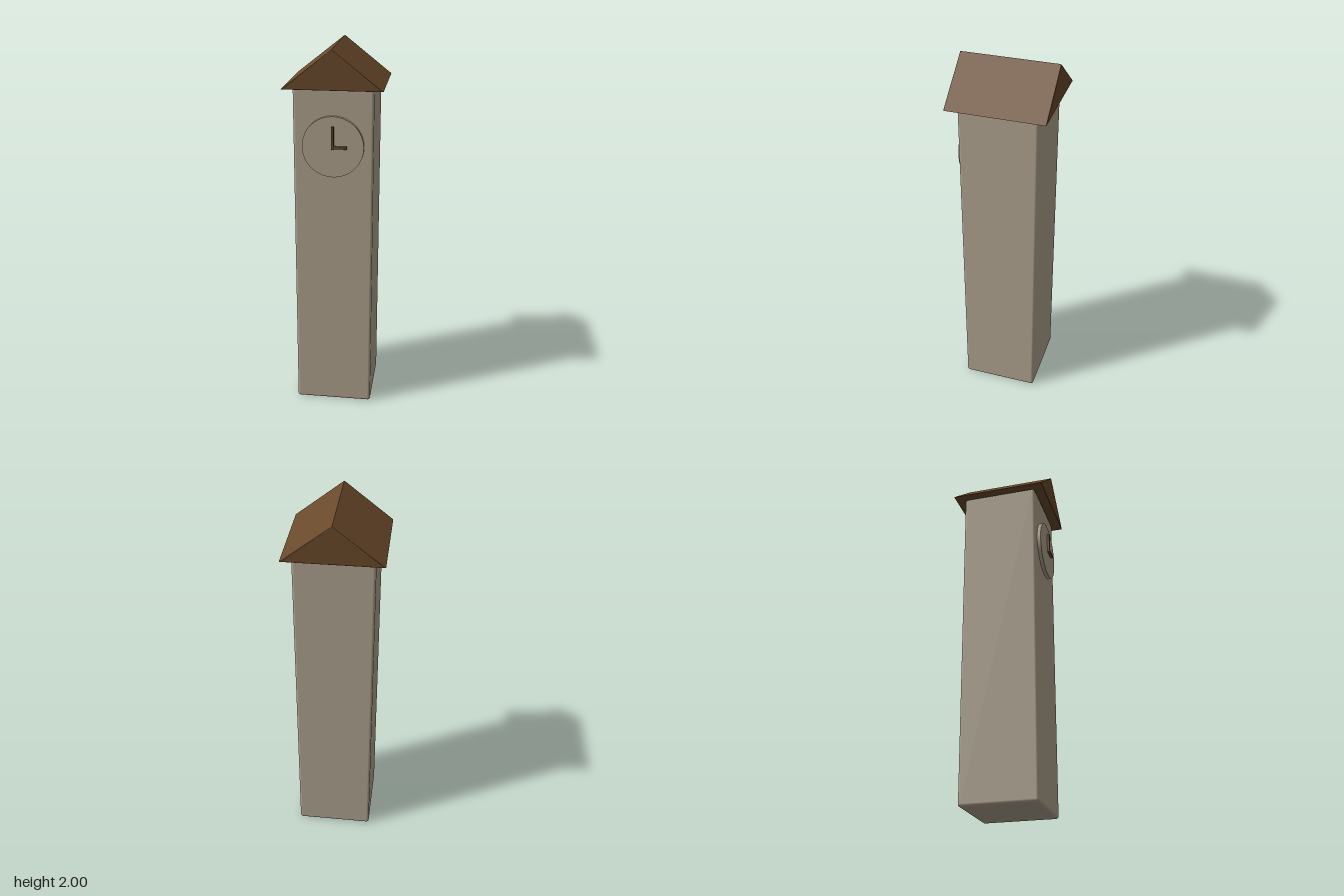
import * as THREE from 'three';
import { RoundedBoxGeometry } from 'three/addons/geometries/RoundedBoxGeometry.js';

export function createModel() {
  const model = new THREE.Group();
  model.name = 'clockTower';

  const stone = new THREE.MeshStandardMaterial({ name: 'stone', color: 0xb0a490 });
  const wood = new THREE.MeshStandardMaterial({ name: 'brownWood', color: 0x6b4a2b });

  const add = (name, geometry, material, x = 0, y = 0, z = 0) => {
    const mesh = new THREE.Mesh(geometry, material);
    mesh.name = name;
    mesh.position.set(x, y, z);
    model.add(mesh);
    return mesh;
  };

  // Tall shaft with softly rounded edges
  add('towerShaft', new RoundedBoxGeometry(0.416, 1.8, 0.416, 3, 0.014), stone, 0, 0.9, 0);

  // Gabled roof: triangular prism, ridge along z, slightly eased edges
  const bevel = 0.004;
  const gable = new THREE.Shape([
    new THREE.Vector2(-0.252, 1.799),
    new THREE.Vector2(0.252, 1.799),
    new THREE.Vector2(0, 1.995),
  ]);
  const depth = 0.52 - 2 * bevel;
  const roof = new THREE.ExtrudeGeometry(gable, {
    depth, bevelEnabled: true, bevelSize: bevel, bevelThickness: bevel, bevelSegments: 2,
  });
  add('roof', roof.translate(0, 0, -depth / 2), wood);

  // Clock dial on the front wall
  const dial = new THREE.CylinderGeometry(0.16, 0.16, 0.022, 64).rotateX(Math.PI / 2);
  add('clockDial', dial, stone, 0, 1.5, 0.217);

  // Hands at three o'clock
  add('minuteHand', new RoundedBoxGeometry(0.013, 0.12, 0.016, 2, 0.003), wood, 0, 1.55, 0.234);
  add('hourHand', new RoundedBoxGeometry(0.08, 0.014, 0.016, 2, 0.003), wood, 0.035, 1.5, 0.234);

  return model;
}
